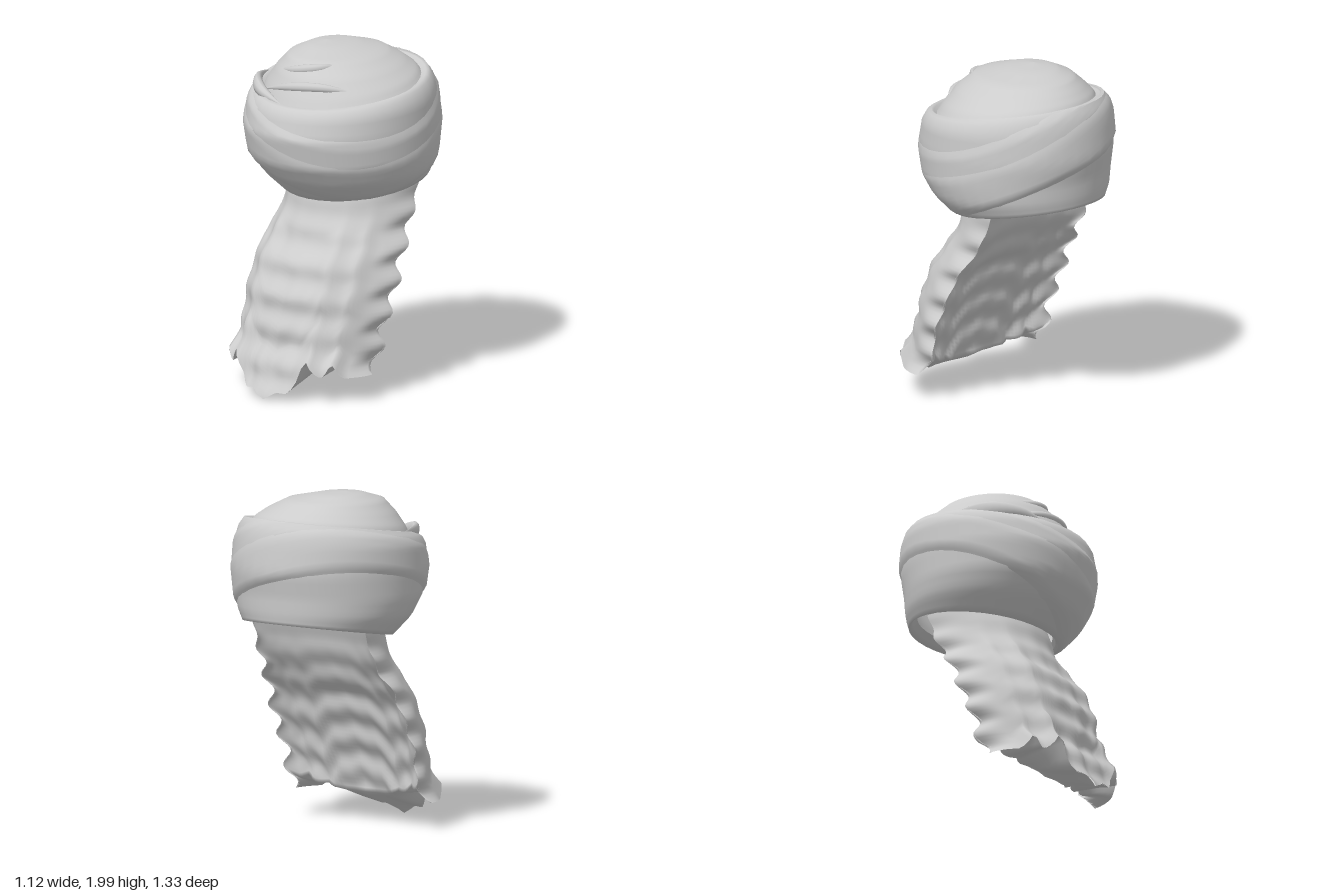
import * as THREE from 'three';

const cloth = new THREE.MeshStandardMaterial({ color: 0xcccccc, side: THREE.DoubleSide });
cloth.name = 'light grey';

// Linear lookup in a table of rows [key, value, value, ...]
function lookup(table, k) {
  let i = 1;
  while (i < table.length - 1 && k > table[i][0]) i++;
  const a = table[i - 1], b = table[i];
  const f = THREE.MathUtils.clamp((k - a[0]) / (b[0] - a[0]), 0, 1);
  return a.slice(1).map((v, n) => v + (b[n + 1] - v) * f);
}

// Smooth skin over loops: fn(angle fraction, row fraction) gives [x, y, z]
function loft(name, sides, rows, fn) {
  const pos = [], index = [];
  for (let r = 0; r <= rows; r++) {
    for (let s = 0; s < sides; s++) pos.push(...fn(s / sides, r / rows));
  }
  for (let r = 0; r < rows; r++) {
    for (let s = 0; s < sides; s++) {
      const n = (s + 1) % sides;
      const a = r * sides + s, b = r * sides + n;
      const c = a + sides, d = b + sides;
      index.push(a, b, d, a, d, c);
    }
  }
  const g = new THREE.BufferGeometry();
  g.setAttribute('position', new THREE.Float32BufferAttribute(pos, 3));
  g.setIndex(index);
  g.computeVertexNormals();
  const mesh = new THREE.Mesh(g, cloth);
  mesh.name = name;
  return mesh;
}

// Tilted oval loop from [front z, front y, back z, back y, half width, centre x]
function oval([zf, yf, zb, yb, w, cx = 0], angle, off = 0) {
  const c = Math.cos(angle), s = Math.sin(angle);
  return [
    cx + (w + off) * s,
    yb + (yf - yb) * (1 + c) / 2,
    (zf + zb) / 2 + ((zf - zb) / 2 + off) * c,
  ];
}

// Turban band profile, from the inner lip at the bottom to the shallow valley on top
const BAND = [
  [0.00, 0.23, 1.19, -0.53, 1.32, 0.41],
  [0.08, 0.27, 1.13, -0.59, 1.27, 0.44],
  [0.22, 0.41, 1.25, -0.60, 1.33, 0.505],
  [0.36, 0.50, 1.37, -0.605, 1.43, 0.535],
  [0.54, 0.54, 1.54, -0.63, 1.57, 0.545],
  [0.72, 0.51, 1.66, -0.605, 1.75, 0.54],
  [0.80, 0.485, 1.70, -0.585, 1.82, 0.52],
  [0.88, 0.45, 1.72, -0.55, 1.87, 0.49],
  [1.00, 0.41, 1.69, -0.50, 1.85, 0.45],
];

const DOME = [
  [0.00, 0.43, 1.68, -0.52, 1.83, 0.47, 0],
  [0.22, 0.39, 1.76, -0.49, 1.87, 0.435, -0.01],
  [0.45, 0.33, 1.86, -0.44, 1.91, 0.36, -0.025],
  [0.65, 0.25, 1.94, -0.37, 1.955, 0.27, -0.05],
  [0.85, 0.08, 1.985, -0.23, 1.99, 0.13, -0.10],
  [1.00, -0.06, 2.0, -0.06, 2.0, 0, -0.13],
];

// Beard tables by distance down: half width, centre z, side edge z
const BEARD = [
  [0.00, 0.41, 0.21, -0.25],
  [0.12, 0.41, 0.25, -0.20],
  [0.25, 0.43, 0.30, -0.13],
  [0.37, 0.46, 0.40, -0.03],
  [0.54, 0.48, 0.49, 0.05],
  [0.68, 0.48, 0.53, 0.12],
  [0.78, 0.47, 0.55, 0.16],
  [0.90, 0.46, 0.62, 0.17],
  [1.00, 0.48, 0.66, 0.28],
];
// Height of the pointed lower locks by distance from the middle
const TIPS = [
  [0, 0.01], [0.17, 0.06], [0.33, 0.06], [0.46, 0.18], [0.54, 0.26],
  [0.61, 0.20], [0.69, 0.16], [0.74, 0.19], [0.80, 0.25], [0.88, 0.16], [1, 0.16],
];

// Solid beard: first half of the loop is the rounded front, second the hollowed
// back, which turns forward near the bottom to meet the tips of the locks
function beardPoint(f, t) {
  const isFront = f < 0.5;
  const angle = (isFront ? f * 4 - 1 : 3 - f * 4) * Math.PI / 2;
  const s = Math.sin(angle), c = Math.cos(angle), edge = Math.abs(s);
  const [w, front, back] = lookup(BEARD, t);
  const tip = lookup(TIPS, edge)[0];
  const y = 1.22 - (1.22 - tip) * t;
  const ripple = Math.cos((y - 0.68) / 0.185 * Math.PI * 2) * Math.min(1, 4 * t);
  const x = s * (w + 0.026 * ripple * edge ** 12);
  const side = back - 0.012 * ripple;
  if (isFront) {
    const lock = 0.008 * t * Math.cos(angle * 14 + 2 * Math.sin(t * 9)) * c;
    return [x, y, side + (front - back + lock) * c];
  }
  const under = Math.max(0, (t - 0.88) / 0.12);
  const backY = 1.22 - 1.04 * Math.min(1, t / 0.88) - (0.18 - tip) * under;
  const depth = 0.3 + 0.7 * under;
  return [x, y + (backY - y) * c, side + (front - back) * depth * c];
}

export function createModel() {
  const model = new THREE.Group();
  model.name = 'turbanAndBeard';
  const TAU = Math.PI * 2;

  const turban = new THREE.Group();
  turban.name = 'turban';
  turban.add(loft('wrappedBand', 36, 25, (f, v) => oval(lookup(BAND, v), f * TAU)));
  turban.add(loft('crown', 36, 20, (f, v) => oval(lookup(DOME, v), f * TAU)));

  // Cloth layers slanting round the band: middle of the low edge, height, thickness
  const layers = [
    ['lowerWrap', 0.30, 0.42, 0.024],
    ['upperWrap', 0.56, 0.26, 0.018],
  ];
  for (const [name, low, height, depth] of layers) {
    turban.add(loft(name, 36, 14, (f, v) => {
      const a = f * TAU;
      const at = Math.min(0.88, low - 0.25 * Math.cos(a - 0.9) + height * v);
      return oval(lookup(BAND, at), a, depth * Math.min(1, v * 7, (1 - v) * 3) - 0.006);
    }));
  }

  // Tucked folds on the front and right of the crown: radius and path
  const folds = [
    [0.03, [-0.30, 1.75, 0.31], [-0.08, 1.80, 0.35], [0.15, 1.82, 0.31], [0.31, 1.80, 0.21]],
    [0.03, [-0.26, 1.86, 0.24], [-0.08, 1.89, 0.28], [0.08, 1.915, 0.23], [0.17, 1.92, 0.10]],
    [0.045, [-0.49, 1.77, 0.0], [-0.44, 1.765, 0.19], [-0.29, 1.745, 0.34], [-0.08, 1.70, 0.41]],
  ];
  for (const [radius, ...pts] of folds) {
    const path = new THREE.CatmullRomCurve3(pts.map((p) => new THREE.Vector3(...p)));
    turban.add(loft('crownFold', 10, 16, (f, v) => {
      const p = path.getPoint(v), r = radius * Math.sin(Math.PI * v);
      return [p.x, p.y + r * Math.sin(f * TAU), p.z + r * Math.cos(f * TAU)];
    }));
  }
  model.add(turban);

  model.add(loft('beard', 120, 50, beardPoint));
  return model;
}
